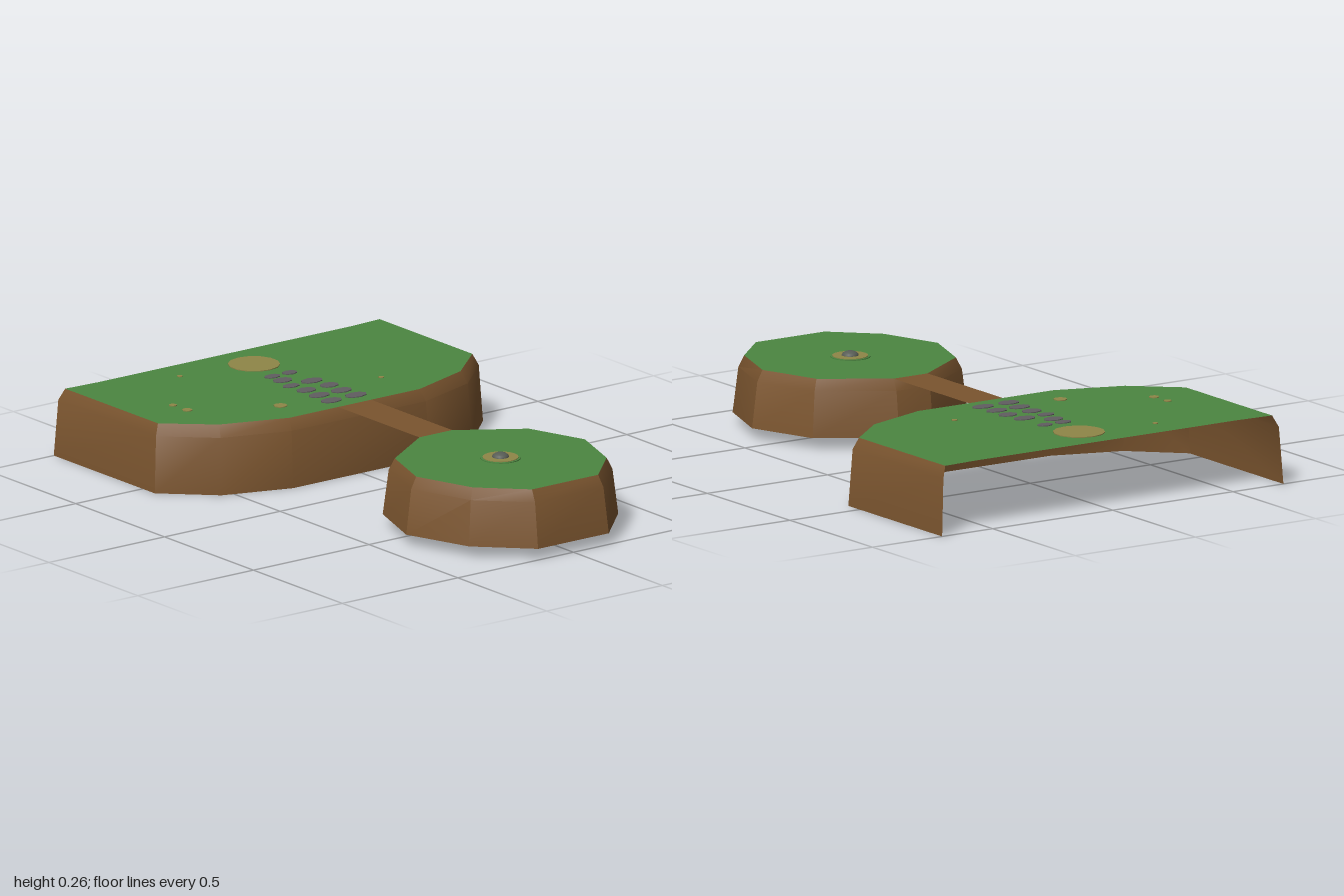
import * as THREE from 'three';
import { toCreasedNormals } from 'three/addons/utils/BufferGeometryUtils.js';

const DECK = 0.24;

function material(name, color, side = THREE.FrontSide) {
  const m = new THREE.MeshStandardMaterial({ color, side });
  m.name = name;
  return m;
}

// Mirrors a half outline (left side, back to front) onto the right side
const mirror = (half) => [...half, ...half.slice().reverse().map(([x, z]) => [-x, z])];

// Sloped earth wall with a chamfered upper rim, from a foot outline to a deck outline
function wallGeometry(foot, deck, footY, inset, closed) {
  const mid = foot.map(([x, z], i) => [x + (deck[i][0] - x) * inset, z + (deck[i][1] - z) * inset]);
  const rings = [[foot, footY], [mid, 0.2], [deck, DECK]];
  const n = foot.length;
  const pos = [];
  const index = [];
  for (const [ring, y] of rings) for (const [x, z] of ring) pos.push(x, y, z);
  for (let r = 0; r < 2; r++) {
    for (let i = 0; i < (closed ? n : n - 1); i++) {
      const a = r * n + i;
      const b = r * n + (i + 1) % n;
      index.push(a, b, b + n, a, b + n, a + n);
    }
  }
  const g = new THREE.BufferGeometry();
  g.setAttribute('position', new THREE.Float32BufferAttribute(pos, 3));
  g.setIndex(index);
  g.computeVertexNormals();
  return toCreasedNormals(g, 0.55);
}

// Flat deck filling an outline
function deckGeometry(outline) {
  const shape = new THREE.Shape(outline.map(([x, z]) => new THREE.Vector2(x, -z)));
  return new THREE.ShapeGeometry(shape).rotateX(-Math.PI / 2).translate(0, DECK, 0);
}

export function createModel() {
  const root = new THREE.Group();
  root.name = 'islands';
  const grass = material('grass', 0x4c8641, THREE.DoubleSide);
  const earth = material('earth', 0x7b552f, THREE.DoubleSide);
  const sand = material('sand', 0x8f8648);
  const stone = material('stone', 0x605d60);
  const knobGrey = material('knob grey', 0x575c55);

  const add = (parent, name, geometry, mat) => {
    const mesh = new THREE.Mesh(geometry, mat);
    mesh.name = name;
    parent.add(mesh);
    return mesh;
  };

  // Thin painted patch, showing on both faces of the deck
  const patch = (parent, name, x, z, rx, rz, mat, sides = 10, height = 0.006) => {
    const mesh = add(parent, name, new THREE.CylinderGeometry(1, 1, height, sides), mat);
    mesh.scale.set(rx, 1, rz);
    mesh.position.set(x, DECK, z);
    return mesh;
  };

  // Large island, open at the back
  const mainland = new THREE.Group();
  mainland.name = 'largeIsland';
  root.add(mainland);
  const mainFoot = mirror([[-0.71, -1], [-0.71, -0.432], [-0.543, -0.273], [-0.296, -0.192]]);
  const mainDeck = mirror([[-0.68, -0.975], [-0.68, -0.453], [-0.522, -0.314], [-0.282, -0.231]]);
  add(mainland, 'largeIslandWall', wallGeometry(mainFoot, mainDeck, 0, 0.4, false), earth);
  add(mainland, 'largeIslandGrass', deckGeometry([...mainDeck, [0.54, -0.967], [-0.54, -0.967]]), grass);

  // Sand clearing and small sand spots
  patch(mainland, 'sandClearing', 0.01, -0.81, 0.09, 0.09, sand, 14);
  const spots = [[-0.51, -0.59, 0.014], [-0.505, -0.515, 0.018], [-0.22, -0.362, 0.024],
    [0.26, -0.42, 0.01], [-0.28, -0.85, 0.01]];
  for (const [x, z, r] of spots) patch(mainland, 'sandSpot', x, z, r, r, sand, 8);

  // Stepping stones leading to the bridge
  const stones = [[-0.03, -0.655, 0.032], [0.045, -0.655, 0.03], [-0.03, -0.597, 0.038],
    [-0.047, -0.527, 0.034], [0.046, -0.532, 0.044], [-0.037, -0.455, 0.038], [0.062, -0.455, 0.036],
    [-0.038, -0.38, 0.042], [0.057, -0.38, 0.042], [-0.044, -0.305, 0.042], [0.062, -0.305, 0.044]];
  for (const [x, z, r] of stones) patch(mainland, 'steppingStone', x, z, r, r > 0.035 ? 0.027 : 0.021, stone, 8);

  // Small island
  const islet = new THREE.Group();
  islet.name = 'smallIsland';
  root.add(islet);
  const isletFoot = mirror([[-0.07, 0.19], [-0.323, 0.347], [-0.408, 0.59], [-0.323, 0.832], [-0.153, 1]]);
  const isletDeck = mirror([[-0.07, 0.225], [-0.29, 0.372], [-0.365, 0.59], [-0.29, 0.81], [-0.143, 0.953]]);
  add(islet, 'smallIslandWall', wallGeometry(isletFoot, isletDeck, 0.04, 0.5, true), earth);
  add(islet, 'smallIslandGrass', deckGeometry(isletDeck), grass);

  // Sand ring with a domed knob
  patch(islet, 'ringEdge', 0, 0.59, 0.07, 0.07, grass, 20, 0.006);
  patch(islet, 'sandRing', 0, 0.59, 0.062, 0.062, sand, 20, 0.01);
  const knob = add(islet, 'knob',
    new THREE.SphereGeometry(0.03, 16, 6, 0, Math.PI * 2, 0, Math.PI / 2), knobGrey);
  knob.scale.y = 0.6;
  knob.position.set(0, DECK + 0.003, 0.59);

  // Flat bridge between the two decks
  const bridge = add(root, 'bridge', new THREE.PlaneGeometry(0.142, 0.456).rotateX(-Math.PI / 2), earth);
  bridge.position.set(0, DECK, -0.003);

  return root;
}
